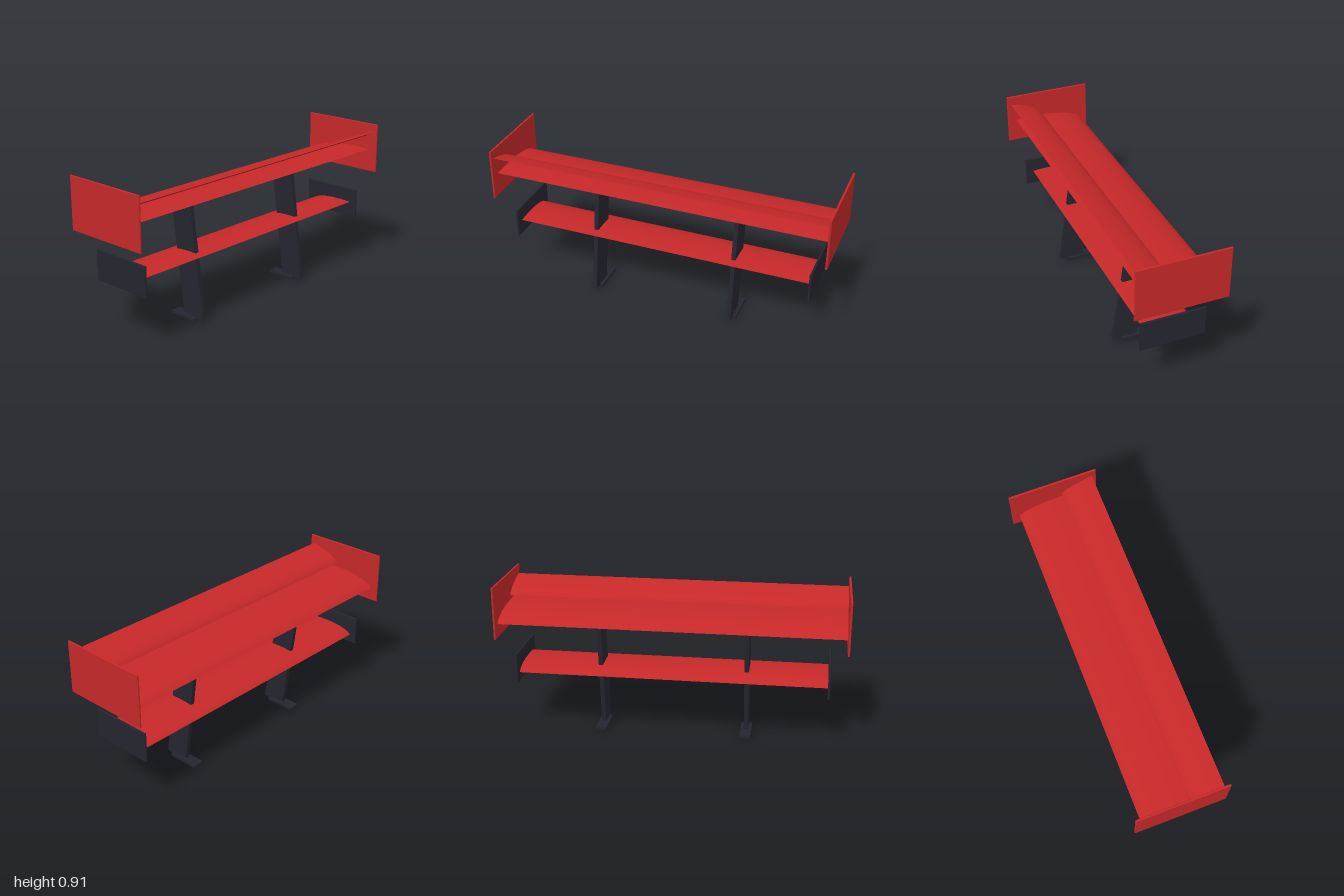
import * as THREE from 'three';
import { toCreasedNormals } from 'three/addons/utils/BufferGeometryUtils.js';

const red = new THREE.MeshStandardMaterial({ color: 0xc62828 });
red.name = 'red paint';
const black = new THREE.MeshStandardMaterial({ color: 0x25252f });
black.name = 'dark metal';

function addMesh(parent, name, geometry, material) {
  const mesh = new THREE.Mesh(geometry, material);
  mesh.name = name;
  parent.add(mesh);
  return mesh;
}

// Extrude a (z, y) outline along x, centred on x = 0
function extrudeAcross(shape, width, options = {}) {
  const g = new THREE.ExtrudeGeometry(shape, { depth: width, bevelEnabled: false, ...options });
  g.translate(0, 0, -width / 2);
  g.rotateY(-Math.PI / 2);
  return g;
}

// Cambered blade from nose to tail, both given as [z, y]
function blade(nose, tail, span, top, bottom) {
  const dz = tail[0] - nose[0], dy = tail[1] - nose[1];
  const at = (t, h) => [nose[0] + dz * t - dy * h, nose[1] + dy * t + dz * h];
  const shape = new THREE.Shape();
  shape.moveTo(...nose);
  shape.bezierCurveTo(...at(0.65, -bottom), ...at(0.7, -bottom * 0.3), ...tail);
  shape.bezierCurveTo(...at(0.7, top * 0.8), ...at(0.15, top * 1.5), ...nose);
  return toCreasedNormals(extrudeAcross(shape, span, { curveSegments: 16 }), 0.6);
}

// End plate with small softened edges
function endPlate(depth, height, thickness) {
  const b = 0.003, z = depth / 2 - b, y = height / 2 - b;
  const shape = new THREE.Shape([
    new THREE.Vector2(-z, -y), new THREE.Vector2(z, -y),
    new THREE.Vector2(z, y), new THREE.Vector2(-z, y),
  ]);
  return extrudeAcross(shape, thickness - 2 * b, {
    bevelEnabled: true, bevelThickness: b, bevelSize: b, bevelSegments: 2,
  });
}

export function createModel() {
  const model = new THREE.Group();
  model.name = 'rearWing';

  // Horizontal blades
  addMesh(model, 'mainBlade', blade([-0.22, 0.69], [0.21, 0.75], 1.98, 0.09, 0.06), red);
  addMesh(model, 'upperFlap', blade([0.05, 0.78], [0.24, 0.863], 1.98, 0.09, 0.04), red);
  addMesh(model, 'lowerBlade', blade([-0.15, 0.374], [0.145, 0.41], 1.8, 0.09, 0.05), red);

  // Mirrored plates, struts and feet
  for (const [side, s] of [['left', 1], ['right', -1]]) {
    addMesh(model, side + 'UpperEndPlate', endPlate(0.53, 0.305, 0.012), red)
      .position.set(s * 0.994, 0.7625, 0);
    addMesh(model, side + 'LowerEndPlate', endPlate(0.38, 0.176, 0.012), black)
      .position.set(s * 0.9, 0.409, 0);

    const strut = addMesh(model, side + 'Strut', new THREE.BoxGeometry(0.025, 0.692, 0.144), black);
    strut.position.set(s * 0.428, 0.354, 0.023);
    strut.rotation.x = -0.138;

    addMesh(model, side + 'Foot', new THREE.BoxGeometry(0.065, 0.017, 0.188), black)
      .position.set(s * 0.428, 0.0185, 0.001);
  }
  return model;
}
